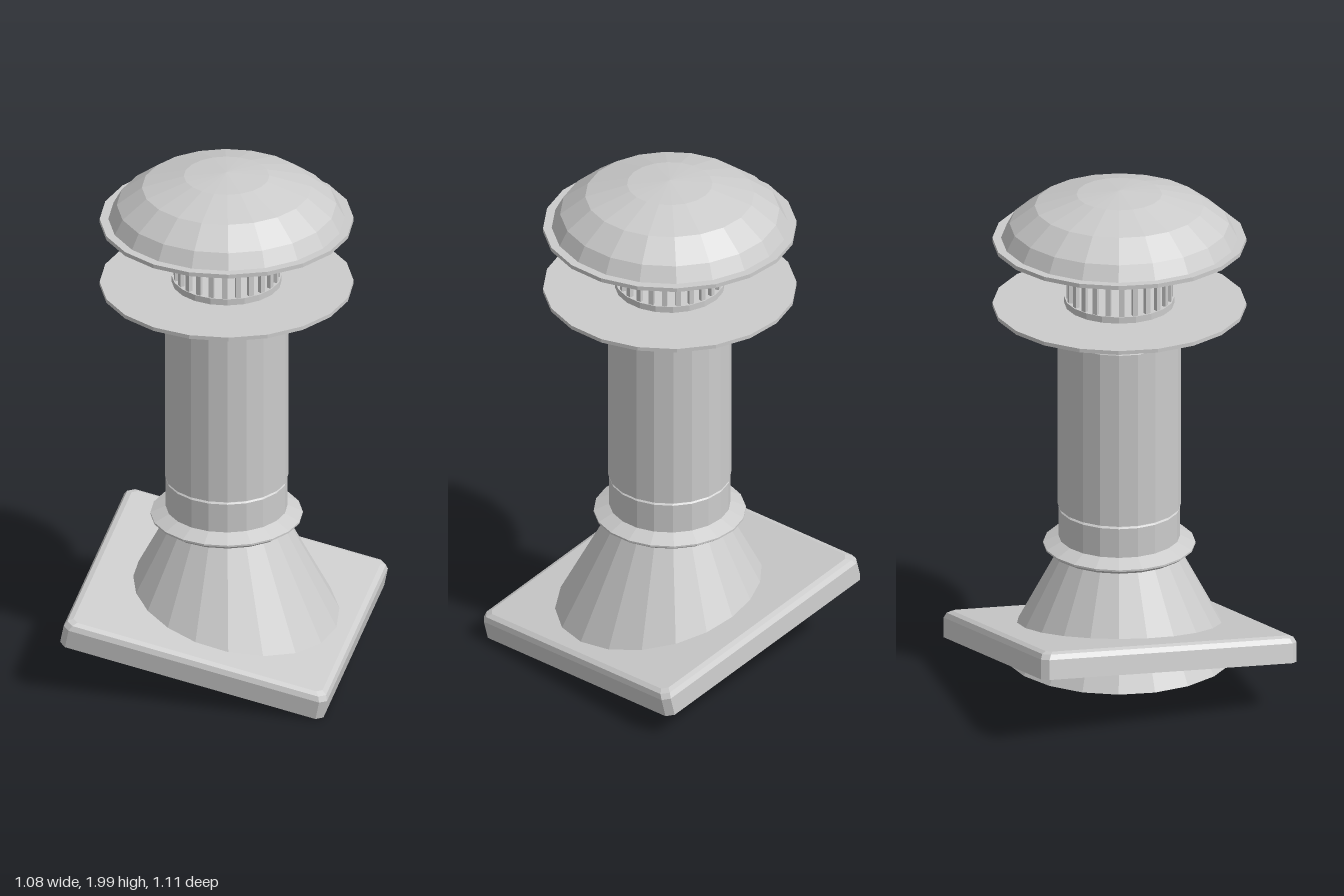
import * as THREE from 'three';

const SIDES = 20;
const material = new THREE.MeshStandardMaterial({
  color: 0xcccccc, flatShading: true, side: THREE.DoubleSide,
});

// Turned part from [radius, height] pairs, listed bottom to top
function turned(name, profile) {
  const points = profile.map(([r, y]) => new THREE.Vector2(r, y));
  const mesh = new THREE.Mesh(new THREE.LatheGeometry(points, SIDES), material);
  mesh.name = name;
  return mesh;
}

// Square ring with cut corners
function squareRing(half, cut, y) {
  const k = half - cut;
  return [[half, -k], [half, k], [k, half], [-k, half], [-half, k], [-half, -k], [-k, -half], [k, -half]]
    .map(([x, z]) => [x, y, z]);
}

// Hollow plate: skirt, softened upper edge and closed top, open underneath
function plateGeometry() {
  const rings = [
    squareRing(0.515, 0.025, 0),
    squareRing(0.515, 0.025, 0.075),
    squareRing(0.506, 0.025, 0.094),
    squareRing(0.487, 0.02, 0.102),
  ];
  const positions = [];
  for (let i = 0; i < rings.length; i++) {
    for (let j = 0; j < 8; j++) {
      const a = rings[i][j], b = rings[i][(j + 1) % 8];
      if (i === rings.length - 1) {
        positions.push(...a, 0, 0.102, 0, ...b);
      } else {
        const c = rings[i + 1][j], d = rings[i + 1][(j + 1) % 8];
        positions.push(...a, ...c, ...b, ...b, ...c, ...d);
      }
    }
  }
  const geometry = new THREE.BufferGeometry();
  geometry.setAttribute('position', new THREE.Float32BufferAttribute(positions, 3));
  geometry.computeVertexNormals();
  return geometry;
}

export function createModel() {
  const model = new THREE.Group();
  model.name = 'roofVent';

  // Roof plate, tilted to the roof slope
  const plate = new THREE.Mesh(plateGeometry(), material);
  plate.name = 'roofPlate';
  const across = new THREE.Vector3(1, -0.205, -0.08).normalize();
  const up = new THREE.Vector3(0.067, -0.083, 1.02).cross(across).normalize();
  const along = new THREE.Vector3().crossVectors(across, up);
  plate.quaternion.setFromRotationMatrix(new THREE.Matrix4().makeBasis(across, up, along));
  plate.position.set(-0.006, 0.149, 0);
  model.add(plate);

  // Upright parts share one axis
  const stack = new THREE.Group();
  stack.name = 'stack';
  stack.position.set(0.012, 0, 0.003);
  model.add(stack);

  stack.add(
    turned('baseCone', [[0.44, 0.14], [0.222, 0.553]]),
    turned('stormCollar', [[0.222, 0.553], [0.262, 0.556], [0.285, 0.572], [0.285, 0.579], [0.228, 0.606]]),
    turned('lowerPipe', [[0.228, 0.56], [0.228, 0.722], [0.222, 0.727], [0.215, 0.727], [0.215, 0.735]]),
    turned('mainPipe', [[0.215, 0.733], [0.231, 0.733], [0.231, 1.425], [0.225, 1.437], [0, 1.437]]),
    turned('neck', [[0.206, 1.43], [0.206, 1.57], [0, 1.57]]),
    turned('lowerDisc', [[0.2, 1.483], [0.475, 1.53], [0.475, 1.545], [0.2, 1.545]]),
    turned('upperNeck', [[0, 1.705], [0.206, 1.705], [0.206, 1.8]]),
    turned('capRim', [[0, 1.792], [0.475, 1.792], [0.475, 1.808], [0.43, 1.808]]),
    turned('capDome', [[0.444, 1.805], [0.411, 1.866], [0.317, 1.938], [0.16, 1.985], [0, 2]]),
  );

  // Ring of slats around the outlet
  const slats = new THREE.Group();
  slats.name = 'outletSlats';
  const slatGeometry = new THREE.BoxGeometry(0.02, 0.145, 0.016);
  const count = 24;
  for (let i = 0; i < count; i++) {
    const angle = (i / count) * Math.PI * 2;
    const slat = new THREE.Mesh(slatGeometry, material);
    slat.name = 'slat';
    slat.position.set(Math.sin(angle) * 0.192, 1.6375, Math.cos(angle) * 0.192);
    slat.rotation.y = angle;
    slats.add(slat);
  }
  stack.add(slats);

  return model;
}
